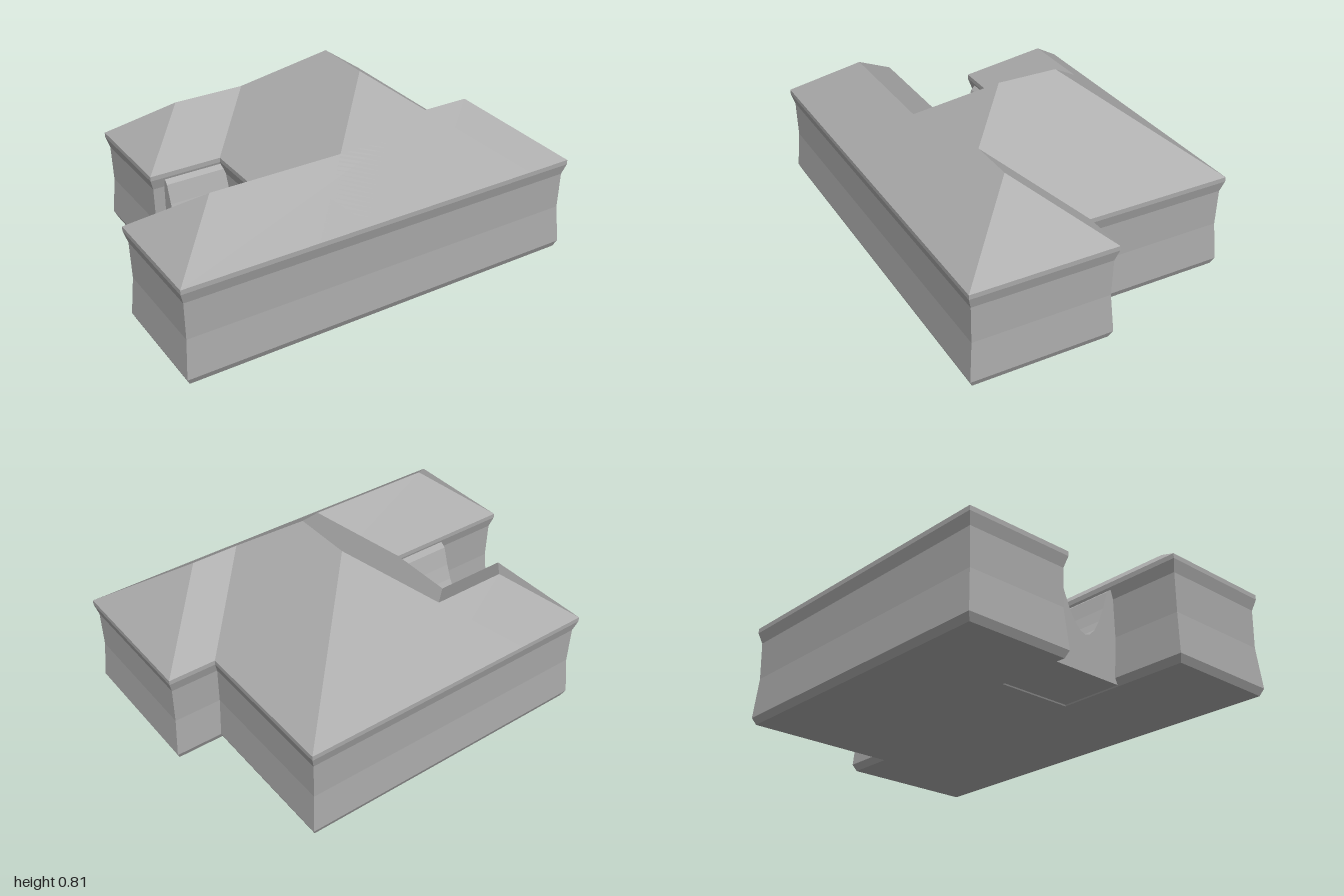
import * as THREE from 'three';

const EAVE = 0.428, SLOPE = 0.757;

// Hip-roofed block: wall rings stacked from the ground, then a ridge.
// hipA / hipB: how far the ridge ends sit in from the two ends (0 = gable).
function hipBlock(name, material, [x0, x1, z0, z1], along, hipA, hipB) {
  const pos = [];
  const face = (...p) => {
    for (let i = 1; i < p.length - 1; i++) pos.push(...p[0], ...p[i], ...p[i + 1]);
  };
  const ring = (y, d) => [
    [x0 + d, y, z1 - d], [x1 - d, y, z1 - d], [x1 - d, y, z0 + d], [x0 + d, y, z0 + d],
  ];
  // walls pinch in slightly below the eaves
  const rings = [ring(0, 0.018), ring(0.03, 0.004), ring(0.2, 0.017), ring(0.36, 0.014), ring(EAVE - 0.02, 0), ring(EAVE, 0)];
  for (let k = 0; k < rings.length - 1; k++) {
    for (let i = 0; i < 4; i++) {
      const j = (i + 1) % 4;
      face(rings[k][i], rings[k][j], rings[k + 1][j], rings[k + 1][i]);
    }
  }
  face(...[...rings[0]].reverse());
  // roof slopes
  const [a, b, c, d] = rings[rings.length - 1];
  const xm = (x0 + x1) / 2, zm = (z0 + z1) / 2;
  if (along === 'x') {
    const y = EAVE + SLOPE * (z1 - z0) / 2;
    const l = [x0 + hipA, y, zm], r = [x1 - hipB, y, zm];
    face(a, b, r, l); face(b, c, r); face(c, d, l, r); face(d, a, l);
  } else {
    const y = EAVE + SLOPE * (x1 - x0) / 2;
    const f = [xm, y, z1 - hipA], k = [xm, y, z0 + hipB];
    face(a, b, f); face(b, c, k, f); face(c, d, k); face(d, a, f, k);
  }
  const g = new THREE.BufferGeometry();
  g.setAttribute('position', new THREE.Float32BufferAttribute(pos, 3));
  g.computeVertexNormals();
  const mesh = new THREE.Mesh(g, material);
  mesh.name = name;
  return mesh;
}

export function createModel() {
  const grey = new THREE.MeshStandardMaterial({ color: 0xaaaaaa });
  grey.name = 'plain grey';

  const house = new THREE.Group();
  house.name = 'house';
  house.add(
    hipBlock('mainHall', grey, [-0.386, 0.632, -0.745, 0.533], 'z', 0.509, 0.509),
    hipBlock('frontLeftWing', grey, [-0.955, 0.12, 0.03, 0.533], 'x', 0.252, 0),
    hipBlock('backLeftWing', grey, [-0.704, 0.12, -0.745, -0.265], 'x', 0.24, 0),
    hipBlock('rightWing', grey, [0.12, 0.836, -0.096, 0.533], 'x', 0, 0.315),
  );

  // hollow court between the two left wings, extruded along the house
  const court = new THREE.Shape();
  court.moveTo(-0.06, 0.005);
  court.lineTo(0.29, 0.005);
  court.lineTo(0.29, 0.42);
  court.lineTo(0.25, 0.38);
  court.quadraticCurveTo(0.12, -0.06, -0.01, 0.38);
  court.lineTo(-0.06, 0.42);
  const courtGeo = new THREE.ExtrudeGeometry(court, { depth: 0.27, bevelEnabled: false, curveSegments: 10 });
  courtGeo.rotateY(Math.PI / 2);
  courtGeo.translate(-0.64, 0, 0);
  const courtMesh = new THREE.Mesh(courtGeo, grey);
  courtMesh.name = 'courtyard';
  house.add(courtMesh);

  // the house stands turned on its plot
  house.rotation.y = 0.569;
  const model = new THREE.Group();
  model.name = 'building';
  model.add(house);
  return model;
}
